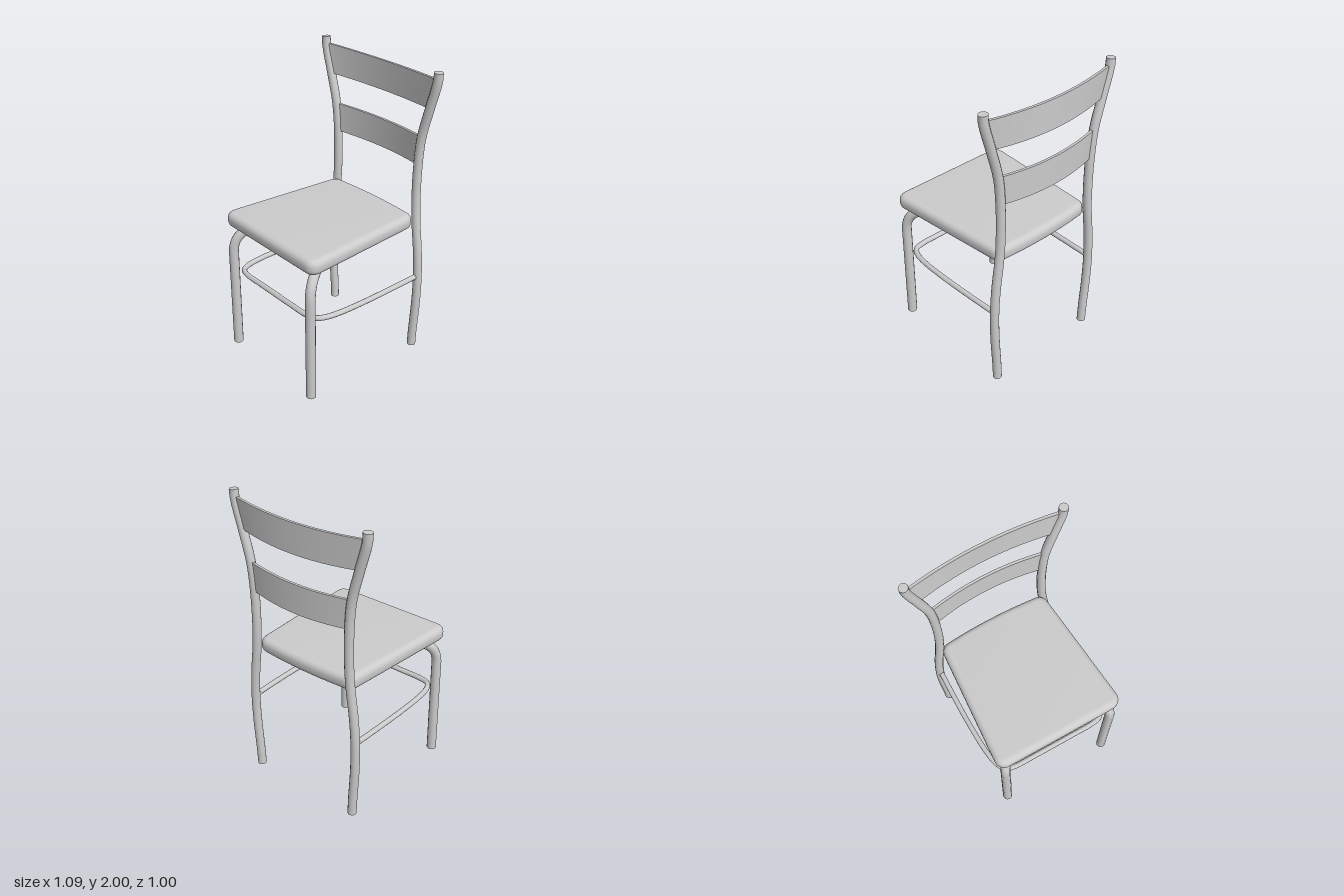
import * as THREE from 'three';
import { mergeVertices, toCreasedNormals } from 'three/addons/utils/BufferGeometryUtils.js';

const material = new THREE.MeshStandardMaterial({ color: 0xcccccc });
const v = (x, y, z) => new THREE.Vector3(x, y, z);
const POST_Z = -0.437;

function addMesh(parent, name, geometry) {
  const mesh = new THREE.Mesh(geometry, material);
  mesh.name = name;
  parent.add(mesh);
}

// Round bar along a curve, closed with a flat cap at both ends
function bar(curve, steps, radius, sides) {
  const tube = new THREE.TubeGeometry(curve, steps, radius, sides).toNonIndexed();
  const ring = new THREE.TubeGeometry(curve, steps, radius, sides).attributes.position;
  const at = (i) => v().fromBufferAttribute(ring, i);
  const points = Array.from(tube.attributes.position.array);
  const last = steps * (sides + 1);
  for (let j = 0; j < sides; j++) {
    const start = [curve.getPointAt(0), at(j), at(j + 1)];
    const end = [curve.getPointAt(1), at(last + j + 1), at(last + j)];
    for (const p of [...start, ...end]) points.push(p.x, p.y, p.z);
  }
  const geometry = new THREE.BufferGeometry();
  geometry.setAttribute('position', new THREE.Float32BufferAttribute(points, 3));
  return toCreasedNormals(geometry, 1);
}

// Tapered cushion outline with rounded corners and a slightly bowed back edge
function seatGeometry() {
  const bevel = 0.042;
  const front = 0.495 - bevel, back = 0.43 - bevel;
  const fx = 0.455 - bevel, bx = 0.393 - bevel, c = 0.03;
  const s = new THREE.Shape();
  // shape y becomes -z once the cushion is laid flat
  s.moveTo(-fx + c, -front);
  s.lineTo(fx - c, -front);
  s.quadraticCurveTo(fx, -front, fx - 0.002, -front + c);
  s.lineTo(bx + 0.002, back - c);
  s.quadraticCurveTo(bx, back, bx - c, back);
  s.quadraticCurveTo(0, back + 0.03, -bx + c, back);
  s.quadraticCurveTo(-bx, back, -bx - 0.002, back - c);
  s.lineTo(-fx + 0.002, -front + c);
  s.quadraticCurveTo(-fx, -front, -fx + c, -front);
  const g = new THREE.ExtrudeGeometry(s, {
    depth: 0.02, bevelEnabled: true, bevelThickness: bevel, bevelSize: bevel,
    bevelSegments: 6, curveSegments: 8,
  });
  g.rotateX(-Math.PI / 2);
  g.translate(0, 0.912 + bevel, 0);
  g.deleteAttribute('uv');
  g.deleteAttribute('normal');
  return toCreasedNormals(mergeVertices(g, 1e-4), 0.9);
}

// Back slat: a board widened toward the top, bowed backward and sagging at the middle
function slatGeometry({ y, height, bottom, top, bow, sag }) {
  const g = new THREE.BoxGeometry(2, 1, 0.018, 20, 1, 1);
  const p = g.attributes.position;
  for (let i = 0; i < p.count; i++) {
    const u = p.getX(i), t = p.getY(i) + 0.5, arch = 1 - u * u;
    p.setXYZ(i, u * (bottom + (top - bottom) * t), y + height * t - sag * arch,
      p.getZ(i) + POST_Z - bow * arch);
  }
  return toCreasedNormals(g, 0.6);
}

export function createModel() {
  const chair = new THREE.Group();
  chair.name = 'chair';

  addMesh(chair, 'seat', seatGeometry());

  for (const [side, name] of [[1, 'left'], [-1, 'right']]) {
    // Rear leg and back upright in one bent bar
    const profile = [
      [0.409, 0], [0.413, 0.1], [0.43, 0.36], [0.433, 0.55], [0.42, 0.75], [0.394, 0.95],
      [0.384, 1.08], [0.383, 1.33], [0.402, 1.55], [0.455, 1.75], [0.509, 1.94], [0.513, 2],
    ];
    const post = new THREE.CatmullRomCurve3(profile.map(([x, y]) => v(side * x, y, POST_Z)));
    addMesh(chair, name + 'RearPost', bar(post, 44, 0.03, 12));

    // Front leg: straight, then bent diagonally inward under the seat
    const leg = new THREE.CurvePath();
    const knee = v(side * 0.402, 0.72, 0.467);
    leg.add(new THREE.LineCurve3(v(side * 0.402, 0, 0.467), knee));
    leg.add(new THREE.QuadraticBezierCurve3(knee, v(side * 0.402, 0.915, 0.467), v(side * 0.26, 0.915, 0.215)));
    addMesh(chair, name + 'FrontLeg', bar(leg, 40, 0.033, 12));
  }

  // One stretcher bent around behind the front legs
  const half = [
    [0.43, 0.562, -0.43], [0.437, 0.564, -0.2], [0.439, 0.565, 0.05], [0.429, 0.565, 0.26],
    [0.408, 0.565, 0.36], [0.375, 0.565, 0.41], [0.31, 0.565, 0.428], [0.15, 0.565, 0.43],
  ];
  const path = [
    ...half.map(([x, y, z]) => v(x, y, z)),
    ...half.slice().reverse().map(([x, y, z]) => v(-x, y, z)),
  ];
  addMesh(chair, 'stretcher', bar(new THREE.CatmullRomCurve3(path), 80, 0.018, 10));

  // Curved back slats
  addMesh(chair, 'upperSlat', slatGeometry({ y: 1.76, height: 0.197, bottom: 0.455, top: 0.508, bow: 0.053, sag: 0.014 }));
  addMesh(chair, 'lowerSlat', slatGeometry({ y: 1.364, height: 0.195, bottom: 0.383, top: 0.402, bow: 0.047, sag: 0.008 }));

  return chair;
}
